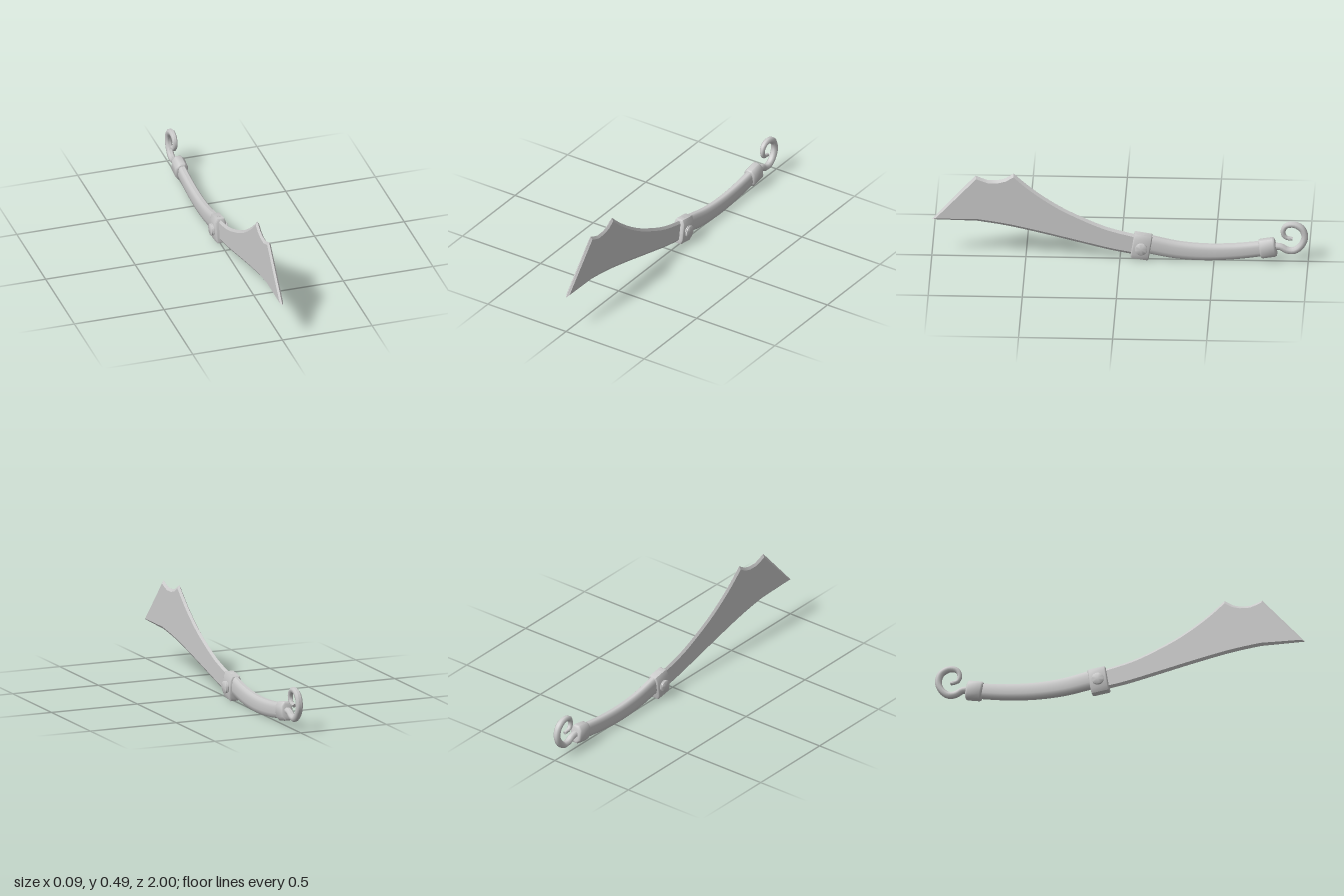
import * as THREE from 'three';
import { toCreasedNormals } from 'three/addons/utils/BufferGeometryUtils.js';

const material = new THREE.MeshStandardMaterial({ color: 0xcccccc });

function add(parent, name, geometry) {
  const mesh = new THREE.Mesh(geometry, material);
  mesh.name = name;
  parent.add(mesh);
  return mesh;
}

// Curve in the x = 0 plane through [z, y] points
const sideCurve = (pts) => new THREE.CatmullRomCurve3(pts.map(([z, y]) => new THREE.Vector3(0, y, z)));

// Sweeps a rounded section along a curve; size(t) gives [half width, half height]
function sweep(curve, steps, sides, size, power) {
  const pos = [], index = [];
  const round = (c) => Math.sign(c) * Math.abs(c) ** power;
  for (let i = 0; i <= steps; i++) {
    const t = i / steps, p = curve.getPointAt(t), d = curve.getTangentAt(t);
    const [w, h] = size(t);
    for (let j = 0; j < sides; j++) {
      const a = ((j + 0.5) / sides) * Math.PI * 2;
      const u = round(Math.cos(a)) * w, v = round(Math.sin(a)) * h;
      pos.push(u, p.y - d.z * v, p.z + d.y * v);
      if (i < steps) {
        const k = i * sides + j, n = i * sides + ((j + 1) % sides);
        index.push(k, k + sides, n, n, k + sides, n + sides);
      }
    }
  }
  // End caps
  const last = steps * sides;
  for (let j = 1; j < sides - 1; j++) {
    index.push(0, j, j + 1, last, last + j + 1, last + j);
  }
  const geo = new THREE.BufferGeometry();
  geo.setAttribute('position', new THREE.Float32BufferAttribute(pos, 3));
  geo.setIndex(index);
  return toCreasedNormals(geo, 1.0);
}

// Block along z with chamfered corners and bevelled ends
function collar(halfW, halfH, length, cx, cy, bevel) {
  const s = new THREE.Shape([
    [halfW, cy - halfH], [halfW, halfH - cy], [halfW - cx, halfH], [cx - halfW, halfH],
    [-halfW, halfH - cy], [-halfW, cy - halfH], [cx - halfW, -halfH], [halfW - cx, -halfH],
  ].map(([x, y]) => new THREE.Vector2(x, y)));
  const geo = new THREE.ExtrudeGeometry(s, {
    depth: length - 2 * bevel, bevelThickness: bevel, bevelSize: bevel, bevelOffset: -bevel, bevelSegments: 2,
  });
  geo.translate(0, 0, bevel - length / 2);
  return toCreasedNormals(geo, 0.9);
}

// Blade: side outline with bevelled edges
function bladeGeometry() {
  const v = (pts) => pts.map(([z, y]) => new THREE.Vector2(z, y));
  const s = new THREE.Shape();
  s.moveTo(1, 0.214);
  s.lineTo(0.768, 0.474);
  // Notch in the spine
  for (const [z, y] of [[0.735, 0.46], [0.7, 0.448], [0.65, 0.449], [0.612, 0.459], [0.565, 0.489]]) s.lineTo(z, y);
  s.splineThru(v([[0.463, 0.4], [0.33, 0.308], [0.195, 0.238], [0.06, 0.182], [-0.11, 0.138]]));
  s.lineTo(-0.11, 0.022);
  s.splineThru(v([[0.035, 0.048], [0.195, 0.087], [0.41, 0.141], [0.6, 0.184], [0.76, 0.209]]));
  const geo = new THREE.ExtrudeGeometry(s, {
    depth: 0.001, curveSegments: 4, bevelThickness: 0.0095, bevelSize: 0.014, bevelOffset: -0.014, bevelSegments: 1,
  });
  geo.translate(0, 0, -0.0005);
  geo.rotateY(-Math.PI / 2);
  return toCreasedNormals(geo, 0.4);
}

export function createModel() {
  const root = new THREE.Group();
  root.name = 'curvedSword';

  add(root, 'blade', bladeGeometry());

  // Curved grip
  const gripCurve = sideCurve([[-0.1, 0.1], [-0.165, 0.087], [-0.3, 0.06], [-0.45, 0.049], [-0.61, 0.056], [-0.78, 0.078]]);
  add(root, 'grip', sweep(gripCurve, 20, 12, (t) => [0.023, 0.053 - 0.011 * t], 0.7));

  // Guard collar with a stud on each side
  const guard = new THREE.Group();
  guard.name = 'guard';
  guard.position.set(0, 0.078, -0.114);
  guard.rotation.x = -0.16;
  root.add(guard);
  add(guard, 'guardCollar', collar(0.031, 0.07, 0.098, 0.01, 0.024, 0.007));
  const studProfile = [[0, 0.025], [0.03, 0.025], [0.032, 0.034], [0.031, 0.036], [0.027, 0.037], [0.027, 0.039],
    [0.033, 0.04], [0.033, 0.045], [0.03, 0.047], [0, 0.047]].map(([r, y]) => new THREE.Vector2(r, y));
  for (const side of [1, -1]) {
    const stud = add(guard, side > 0 ? 'leftStud' : 'rightStud', toCreasedNormals(new THREE.LatheGeometry(studProfile, 20), 0.6));
    stud.position.y = -0.003;
    stud.rotation.z = -side * Math.PI / 2;
  }

  // Pommel collar
  const pommel = add(root, 'pommelCollar', collar(0.034, 0.051, 0.09, 0.018, 0.022, 0.012));
  pommel.position.set(0, 0.079, -0.785);
  pommel.rotation.x = 0.17;

  // Curled hook
  const hookCurve = sideCurve([[-0.81, 0.088], [-0.854, 0.086], [-0.886, 0.068], [-0.924, 0.065], [-0.961, 0.092],
    [-0.982, 0.142], [-0.967, 0.193], [-0.924, 0.217], [-0.881, 0.207], [-0.866, 0.174], [-0.878, 0.143], [-0.917, 0.133]]);
  const hookSize = (t) => {
    const r = t > 0.6 ? 0.019 - 0.022 * (t - 0.6) : 0.019;
    return [r, r];
  };
  add(root, 'hook', sweep(hookCurve, 36, 8, hookSize, 1));

  return root;
}
